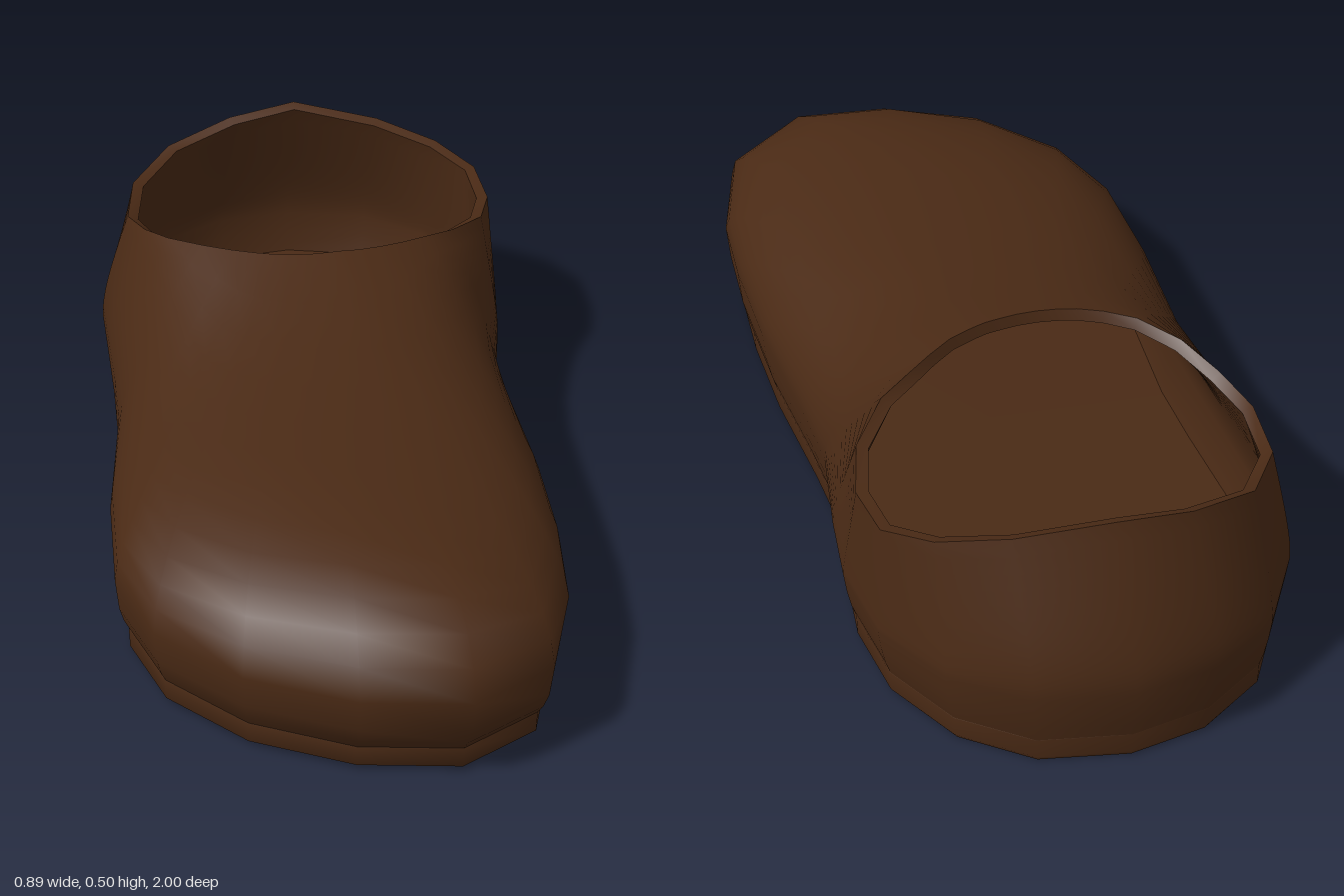
import * as THREE from 'three';

// Widest outline of the shoe [x, z], from the heel round the left side to the toe and back
const OUTLINE = [
  [0, -1], [0.19, -0.965], [0.33, -0.86], [0.42, -0.7], [0.445, -0.52], [0.43, -0.37], [0.4, -0.17],
  [0.41, 0], [0.435, 0.27], [0.44, 0.5], [0.43, 0.68], [0.37, 0.9], [0.21, 1], [0, 0.98],
  [-0.21, 0.89], [-0.37, 0.74], [-0.44, 0.56], [-0.445, 0.3], [-0.425, 0], [-0.43, -0.17],
  [-0.44, -0.35], [-0.45, -0.52], [-0.41, -0.71], [-0.31, -0.88], [-0.17, -0.97]];

// Matching points [x, y, z] on the edge of the foot opening
const RIM = [
  [0.01, 0.505, -0.895], [0.2, 0.475, -0.855], [0.33, 0.445, -0.79], [0.41, 0.42, -0.7], [0.425, 0.41, -0.57],
  [0.395, 0.425, -0.45], [0.32, 0.45, -0.35], [0.25, 0.462, -0.3], [0.2, 0.47, -0.265], [0.15, 0.478, -0.235],
  [0.1, 0.482, -0.217], [0.07, 0.485, -0.21], [0.04, 0.485, -0.205], [0, 0.485, -0.2], [-0.04, 0.485, -0.2],
  [-0.08, 0.485, -0.205], [-0.12, 0.485, -0.215], [-0.17, 0.483, -0.235], [-0.23, 0.478, -0.27],
  [-0.3, 0.46, -0.34], [-0.35, 0.435, -0.43], [-0.385, 0.415, -0.53], [-0.37, 0.42, -0.68],
  [-0.285, 0.445, -0.81], [-0.14, 0.48, -0.875]];

// Height of the ridge along the instep [z, y]
const RIDGE = [[-1, 0.47], [-0.2, 0.48], [-0.1, 0.455], [0, 0.432], [0.3, 0.402], [0.68, 0.385], [0.85, 0.4], [1, 0.4]];

const N = OUTLINE.length;
const { lerp, clamp } = THREE.MathUtils;
const material = new THREE.MeshStandardMaterial({ color: 0x4a2a15, side: THREE.DoubleSide });

function ridgeHeight(z) {
  for (let i = 1; i < RIDGE.length; i++) {
    const [z0, y0] = RIDGE[i - 1], [z1, y1] = RIDGE[i];
    if (z <= z1) return lerp(y0, y1, clamp((z - z0) / (z1 - z0), 0, 1));
  }
  return RIDGE[RIDGE.length - 1][1];
}

function distanceToOutline(x, z) {
  let best = Infinity;
  OUTLINE.forEach(([ax, az], i) => {
    const [bx, bz] = OUTLINE[(i + 1) % N];
    const dx = bx - ax, dz = bz - az;
    const k = clamp(((x - ax) * dx + (z - az) * dz) / (dx * dx + dz * dz), 0, 1);
    best = Math.min(best, Math.hypot(x - ax - k * dx, z - az - k * dz));
  });
  return best;
}

// Rounded fall of the surface from the ridge to the outline
function domeHeight(x, z, base) {
  const d = Math.min(distanceToOutline(x, z) / 0.4, 1);
  return base + (ridgeHeight(z) - base) * Math.sqrt(1 - (1 - d) ** 2);
}

// Closed rings of points joined into a surface
function loft(rings, inward = false) {
  const index = [];
  for (let j = 0; j < rings.length - 1; j++) {
    for (let i = 0; i < N; i++) {
      const a = j * N + i, b = j * N + (i + 1) % N, c = b + N, d = a + N;
      if (inward) index.push(a, b, c, a, c, d);
      else index.push(a, c, b, a, d, c);
    }
  }
  const geometry = new THREE.BufferGeometry();
  geometry.setAttribute('position', new THREE.Float32BufferAttribute(rings.flat(2), 3));
  geometry.setIndex(index);
  geometry.computeVertexNormals();
  return geometry;
}

// Flat cap filling one ring
function cap(ring, up) {
  const centre = ring.map(() => [0, ring[0][1], 0]);
  return loft([ring, centre], !up);
}

// Outline drawn in by a fraction: 0 is the widest line, 1 the sole edge
function outlineRing(y, inset) {
  return OUTLINE.map(([x, z]) => [x * (1 - 0.055 * inset), y, z * (1 - 0.035 * inset) - 0.02 * inset]);
}

function upperRings() {
  const rings = [outlineRing(0.055, 1), outlineRing(0.085, 0.6), outlineRing(0.125, 0.25)];
  const steps = 12;
  for (let j = 0; j <= steps; j++) {
    const t = (j / steps) ** 1.6;
    rings.push(OUTLINE.map(([ox, oz], i) => {
      const [rx, ry, rz] = RIM[i];
      const base = lerp(0.17, 0.2, clamp(oz + 0.5, 0, 1));
      const x = lerp(ox, rx, t), z = lerp(oz, rz, t);
      const power = 1 + 2 * Math.min(Math.hypot(rx - ox, rz - oz) / 0.5, 1);
      const correction = ry - domeHeight(rx, rz, base);
      return [x, domeHeight(x, z, base) + correction * t ** power, z];
    }));
  }
  return rings;
}

export function createModel() {
  const shoe = new THREE.Group();
  shoe.name = 'shoe';
  const add = (name, geometry) => {
    const mesh = new THREE.Mesh(geometry, material);
    mesh.name = name;
    shoe.add(mesh);
  };

  // Upper, from the welt to the opening
  const rings = upperRings();
  const upper = loft(rings);
  add('upper', upper);

  // Lining, set inside the upper by the thickness of the material
  const normals = upper.attributes.normal;
  const lining = rings.map((ring, j) => ring.map((p, i) => {
    const k = j * N + i;
    return [p[0] - 0.025 * normals.getX(k), p[1] - 0.025 * normals.getY(k), p[2] - 0.025 * normals.getZ(k)];
  }));
  add('lining', loft(lining, true));
  add('openingEdge', loft([rings[rings.length - 1], lining[lining.length - 1]]));

  // Sole with a bevelled lower edge, and the insole
  const bottom = outlineRing(0, 1.4);
  add('soleEdge', loft([bottom, outlineRing(0.012, 1), outlineRing(0.055, 0.95), outlineRing(0.058, 1.1)]));
  add('soleBottom', cap(bottom, false));
  add('insole', cap(outlineRing(0.075, 1.3), true));
  return shoe;
}
